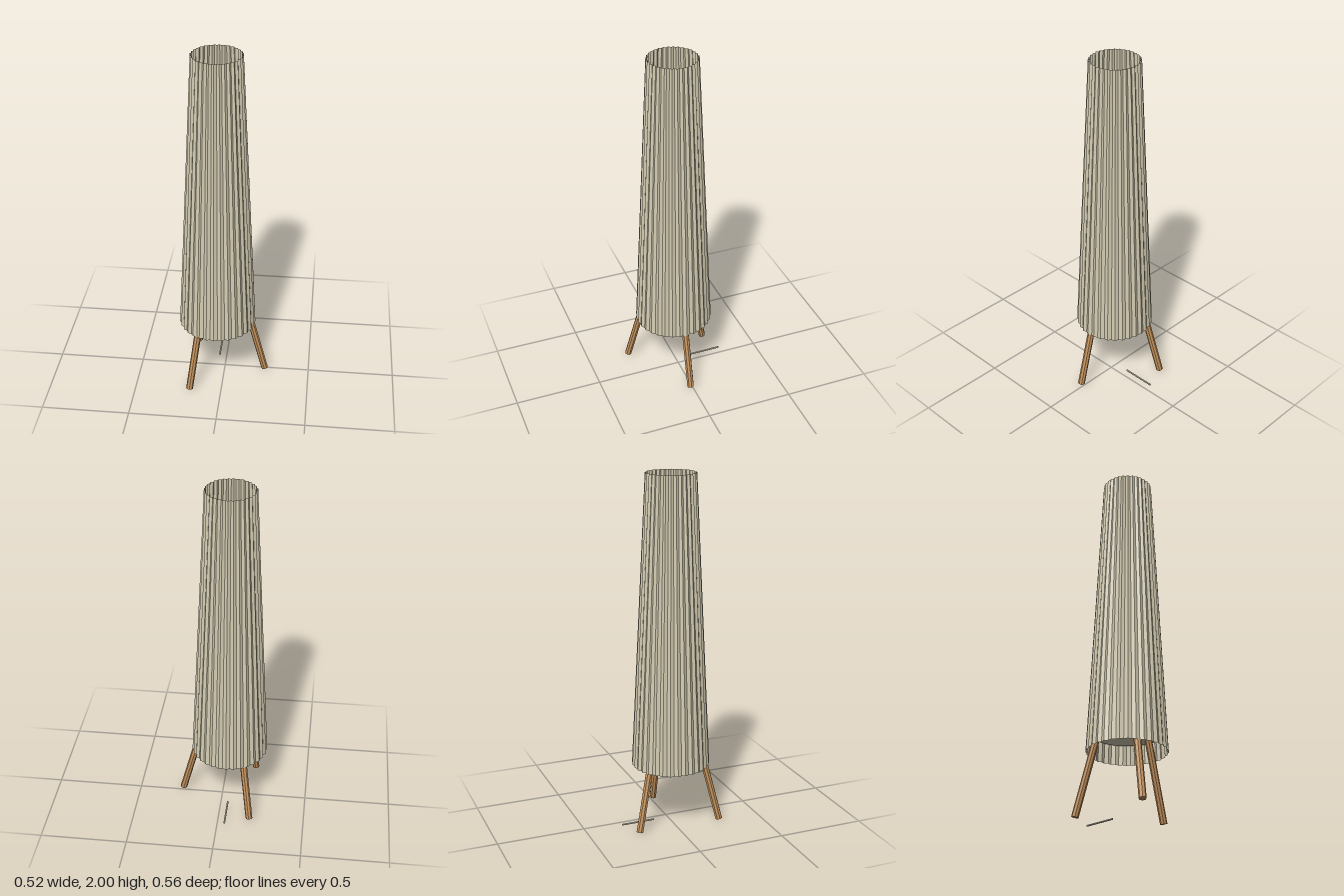
import * as THREE from 'three';

const cream = new THREE.MeshStandardMaterial({ color: 0xd4ccb2, flatShading: true, side: THREE.DoubleSide });
cream.name = 'cream';
const wood = new THREE.MeshStandardMaterial({ color: 0xc4925c, flatShading: true });
wood.name = 'wood';

function part(name, geometry, material) {
  const mesh = new THREE.Mesh(geometry, material);
  mesh.name = name;
  return mesh;
}

// Open tapered tube whose alternate columns are pushed in to form pleats
function pleatedShade(bottomY, topY, bottomR, topR, pleats, depth) {
  const height = topY - bottomY;
  const geo = new THREE.CylinderGeometry(topR, bottomR, height, pleats * 2, 2, true);
  const pos = geo.attributes.position;
  const columns = pleats * 2 + 1;
  for (let i = 0; i < pos.count; i++) {
    if ((i % columns) % 2 === 0) continue;
    const x = pos.getX(i), z = pos.getZ(i);
    const r = Math.hypot(x, z);
    pos.setX(i, x * (r - depth) / r);
    pos.setZ(i, z * (r - depth) / r);
  }
  geo.translate(0, bottomY + height / 2, 0);
  geo.computeVertexNormals();
  return geo;
}

// Round bar between two points
function bar(name, from, to, radius, sides, material) {
  const dir = to.clone().sub(from);
  const mesh = part(name, new THREE.CylinderGeometry(radius, radius, dir.length(), sides), material);
  mesh.position.copy(from).add(to).multiplyScalar(0.5);
  mesh.quaternion.setFromUnitVectors(new THREE.Vector3(0, 1, 0), dir.normalize());
  return mesh;
}

export function createModel() {
  const model = new THREE.Group();
  model.name = 'floorLamp';
  const lamp = new THREE.Group();
  lamp.name = 'lampBody';
  lamp.position.set(-0.042, 0, 0.014);
  model.add(lamp);

  // Tall pleated shade, open at both ends
  lamp.add(part('shade', pleatedShade(0.35, 2, 0.221, 0.139, 32, 0.009), cream));

  // Round plate inside the shade that carries the bulb
  const plate = part('basePlate', new THREE.CylinderGeometry(0.198, 0.198, 0.01, 32), cream);
  plate.position.y = 0.46;
  lamp.add(plate);

  // Socket and bulb in one turned profile
  const profile = [
    [0, 0.445], [0.01, 0.445], [0.01, 0.51], [0.018, 0.53], [0.021, 0.55],
    [0.018, 0.57], [0.012, 0.585], [0.006, 0.592], [0, 0.594],
  ].map(([r, y]) => new THREE.Vector2(r, y));
  lamp.add(part('bulb', new THREE.LatheGeometry(profile, 10), cream));

  // Three splayed legs
  for (let i = 0; i < 3; i++) {
    const a = (i * Math.PI * 2) / 3;
    const at = (r, y) => new THREE.Vector3(Math.cos(a) * r, y, Math.sin(a) * r);
    lamp.add(bar('leg' + (i + 1), at(0.281, 0.017), at(0.142, 0.55), 0.02, 8, wood));
  }

  // Power cord lying on the floor behind
  lamp.add(bar('cord', new THREE.Vector3(0, 0.01, -0.297), new THREE.Vector3(0, 0.01, -0.105), 0.005, 8, cream));

  return model;
}
